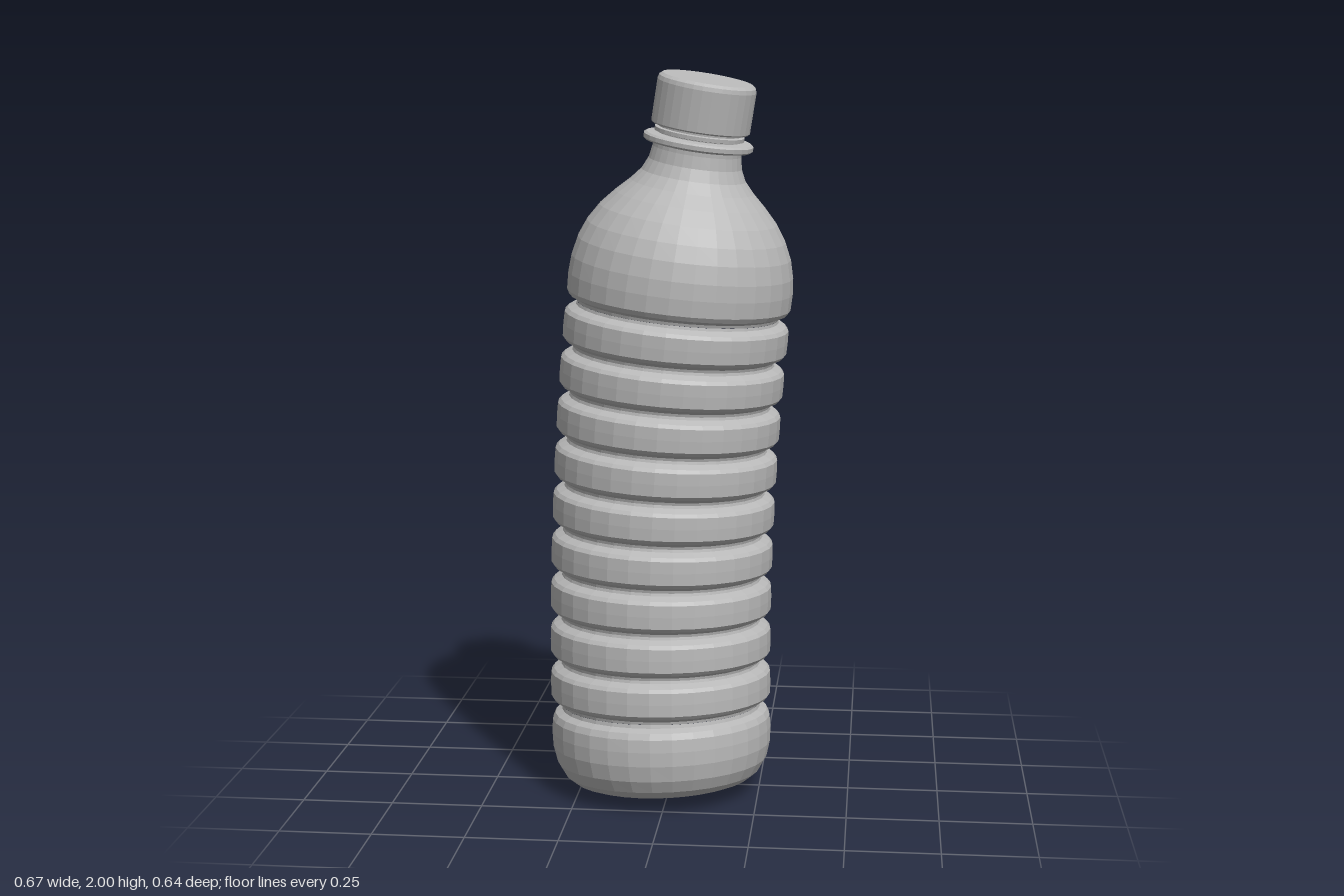
import * as THREE from 'three';

const SIDES = 32;

// Bend an upright turned shape along the bottle's gently curving spine
function bend(geometry) {
  const pos = geometry.attributes.position;
  const p = new THREE.Vector3();
  for (let i = 0; i < pos.count; i++) {
    p.fromBufferAttribute(pos, i);
    const a = p.y - 0.42, b = p.y - 0.85;
    const centre = new THREE.Vector3(-0.03 + 0.055 * a * a, p.y, -0.008 + 0.045 * b * b);
    const up = new THREE.Vector3(0.11 * a, 1, 0.09 * b).normalize();
    const side = new THREE.Vector3(1, 0, 0).addScaledVector(up, -up.x).normalize();
    const front = new THREE.Vector3().crossVectors(side, up);
    centre.addScaledVector(side, p.x).addScaledVector(front, p.z);
    pos.setXYZ(i, centre.x, centre.y, centre.z);
  }
  geometry.computeVertexNormals();
  return geometry;
}

export function createModel() {
  const group = new THREE.Group();
  const grey = new THREE.MeshStandardMaterial({ color: 0xb8b8b8, flatShading: true });
  grey.name = 'plasticGrey';

  // Turn a [radius, height] profile, listed from bottom to top
  const turned = (name, profile) => {
    const points = profile.map(([r, y]) => new THREE.Vector2(r, y));
    const mesh = new THREE.Mesh(bend(new THREE.LatheGeometry(points, SIDES)), grey);
    mesh.name = name;
    group.add(mesh);
  };

  // Rounded foot
  turned('base', [
    [0, 0.021], [0.225, 0.021], [0.25, 0.03], [0.275, 0.05], [0.295, 0.085],
    [0.306, 0.13], [0.308, 0.17], [0.306, 0.205], [0.298, 0.222], [0.279, 0.232], [0.277, 0.242],
  ]);

  // Nine ribs, each running from one groove to the next
  const pitch = 0.1235;
  for (let i = 0; i < 9; i++) {
    const y = 0.304 + i * pitch;
    turned('rib' + (i + 1), [
      [0.277, y - pitch / 2], [0.279, y - 0.054], [0.3, y - 0.043], [0.308, y - 0.033],
      [0.309, y], [0.308, y + 0.033], [0.3, y + 0.043], [0.279, y + 0.054], [0.277, y + pitch / 2],
    ]);
  }

  // Domed shoulder running into the neck
  turned('shoulder', [
    [0.277, 1.354], [0.279, 1.362], [0.3, 1.372], [0.307, 1.385], [0.308, 1.43], [0.304, 1.475],
    [0.292, 1.525], [0.272, 1.57], [0.242, 1.615], [0.205, 1.655], [0.168, 1.69],
    [0.142, 1.72], [0.127, 1.752], [0.121, 1.785], [0.12, 1.81],
  ]);

  // Collar, neck and safety band below the cap
  turned('neckCollar', [
    [0.118, 1.795], [0.143, 1.799], [0.149, 1.804], [0.149, 1.815], [0.143, 1.82], [0.112, 1.822],
  ]);
  turned('neckBand', [[0.112, 1.815], [0.112, 1.824], [0.122, 1.826], [0.122, 1.836], [0.112, 1.838], [0.112, 1.86]]);

  // Screw cap
  turned('cap', [
    [0.11, 1.845], [0.13, 1.845], [0.134, 1.849], [0.134, 1.958], [0.131, 1.969], [0.122, 1.976], [0, 1.976],
  ]);

  return group;
}
